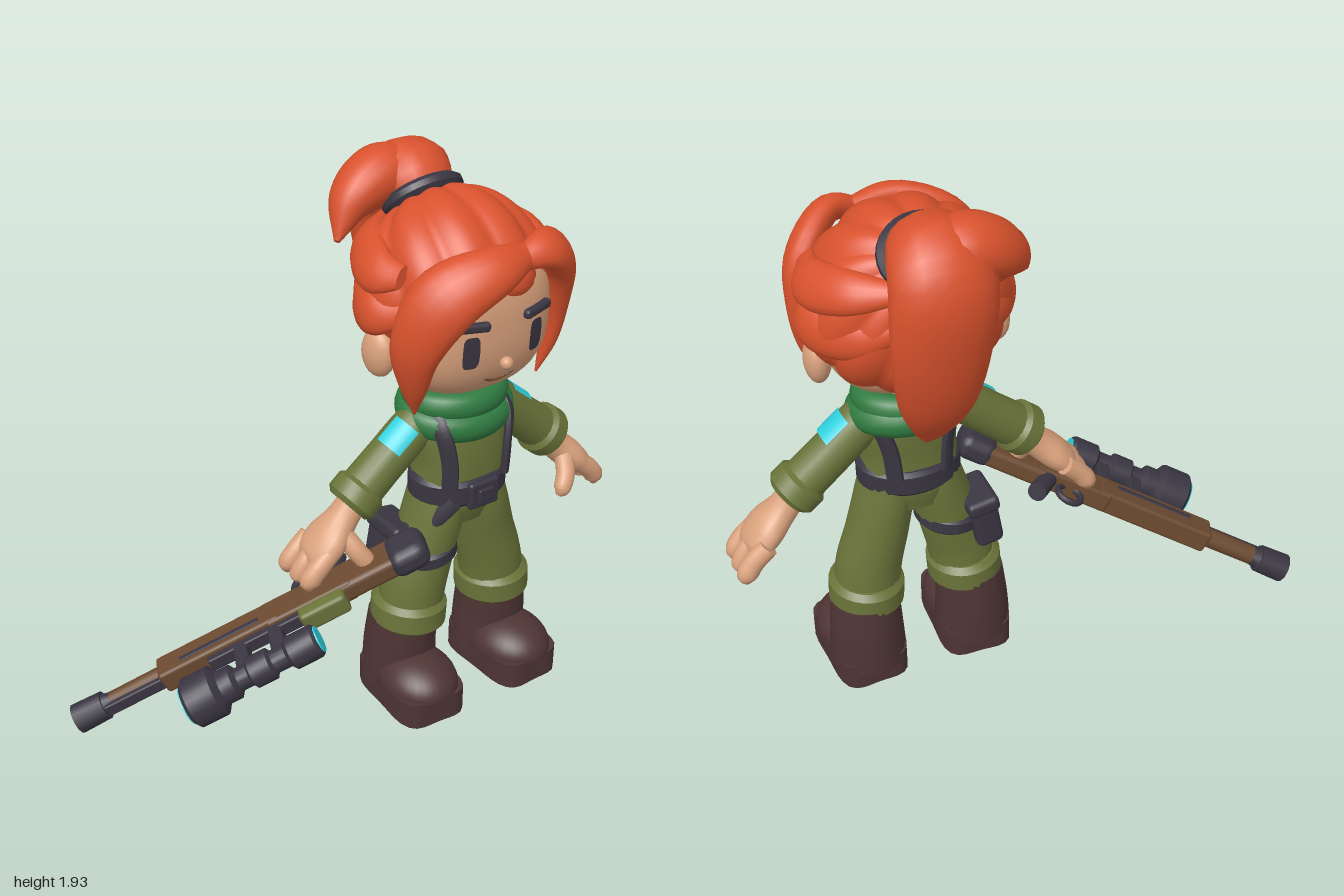
import * as THREE from 'three';
import { toCreasedNormals } from 'three/addons/utils/BufferGeometryUtils.js';
import { RoundedBoxGeometry } from 'three/addons/geometries/RoundedBoxGeometry.js';

const mat = (name, color, side = THREE.FrontSide) => Object.assign(new THREE.MeshStandardMaterial({ color, side }), { name });
const hair = mat('hair orange', 0xd9522d), skin = mat('skin', 0xd9a17c), olive = mat('olive cloth', 0x6a743a);
const green = mat('scarf green', 0x2f7a40), dark = mat('dark gear', 0x3a3642), leather = mat('boot leather', 0x4e3534);
const wood = mat('wood', 0x6b4a30), cyan = mat('cyan', 0x2fd0de, THREE.DoubleSide);
const V = (x, y, z) => new THREE.Vector3(x, y, z);
const CX = 0.36; // the figure's centre line

function add(parent, name, geo, material, p = [0, 0, 0], r = [0, 0, 0], s = [1, 1, 1]) {
  const m = new THREE.Mesh(geo, material);
  m.name = name;
  m.position.set(...p); m.rotation.set(...r); m.scale.set(...s);
  parent.add(m);
  return m;
}

// Tapered body along a path; each point is [x, y, z, halfWidth, halfThickness].
// Thickness points away from "centre", or along "dir" if given.
function sweep(pts, { centre, dir, power = 2, n = 26, m = 18 }) {
  const path = new THREE.CatmullRomCurve3(pts.map(p => V(p[0], p[1], p[2])));
  const size = new THREE.CatmullRomCurve3(pts.map((p, i) => V(p[3], p[4] ?? p[3], i)));
  const pos = [], idx = [];
  for (let i = -1; i <= n + 1; i++) {
    const u = Math.min(1, Math.max(0, i / n)), k = i < 0 || i > n ? 0 : 1;
    const P = path.getPoint(u), T = path.getTangent(u), S = size.getPoint(u);
    const W = T.clone().cross(dir ?? P.clone().sub(centre)).normalize(), N = W.clone().cross(T);
    for (let j = 0; j < m; j++) {
      const a = j / m * Math.PI * 2, c = Math.cos(a), s = Math.sin(a);
      const f = k / Math.pow(Math.abs(c) ** power + Math.abs(s) ** power, 1 / power);
      const q = P.clone().addScaledVector(W, c * f * Math.max(0.001, S.x)).addScaledVector(N, s * f * Math.max(0.001, S.y));
      pos.push(q.x, q.y, q.z);
      if (i <= n) {
        const a0 = (i + 1) * m + j, a1 = (i + 1) * m + (j + 1) % m;
        idx.push(a0, a0 + m, a1, a1, a0 + m, a1 + m);
      }
    }
  }
  const g = new THREE.BufferGeometry();
  g.setAttribute('position', new THREE.Float32BufferAttribute(pos, 3));
  g.setIndex(idx);
  return toCreasedNormals(g, 0.9);
}

// Move every vertex of a geometry by a rule
function warp(g, rule) {
  const p = g.attributes.position, v = V(0, 0, 0);
  for (let i = 0; i < p.count; i++) { v.fromBufferAttribute(p, i); rule(v); p.setXYZ(i, v.x, v.y, v.z); }
  g.computeVertexNormals();
  return g;
}

// Closed ring with bevelled rims
function band(r, h, b = 0.015) {
  const pts = [[0.001, -h / 2], [r - b, -h / 2], [r, b - h / 2], [r, h / 2 - b], [r - b, h / 2], [0.001, h / 2]];
  return toCreasedNormals(new THREE.LatheGeometry(pts.map(p => new THREE.Vector2(...p)), 28), 0.5);
}

const box = (w, h, d, r = 0.012) => new RoundedBoxGeometry(w, h, d, 2, r);

// Cylinder between two points
function rod(parent, name, material, a, b, r1, r2 = r1, seg = 16) {
  const A = V(...a), B = V(...b), d = B.clone().sub(A);
  const m = add(parent, name, new THREE.CylinderGeometry(r2, r1, d.length(), seg), material);
  m.position.copy(A.add(B).multiplyScalar(0.5));
  m.quaternion.setFromUnitVectors(V(0, 1, 0), d.normalize());
  return m;
}

const FACE = { p: 2.6, y: 1.47, z: 0.1, rx: 0.28, ry: 0.27, rz: 0.235 };
const faceZ = (x, y) => FACE.z + FACE.rz * Math.pow(Math.max(0,
  1 - Math.abs((x - CX) / FACE.rx) ** FACE.p - Math.abs((y - FACE.y) / FACE.ry) ** FACE.p), 1 / FACE.p);

function buildHead(g) {
  const head = warp(new THREE.SphereGeometry(1, 48, 32), v => {
    const { p, rx, ry, rz } = FACE;
    v.multiplyScalar(1 / Math.pow(Math.abs(v.x) ** p + Math.abs(v.y) ** p + Math.abs(v.z) ** p, 1 / p));
    v.set(v.x * rx, v.y * ry, v.z * rz);
  });
  add(g, 'head', head, skin, [CX, FACE.y, FACE.z]);
  rod(g, 'neck', skin, [CX, 1.08, 0.09], [CX, 1.26, 0.09], 0.09);
  add(g, 'nose', new THREE.SphereGeometry(0.022, 16, 12), skin, [CX, 1.365, 0.345]);
  const mouth = [-0.055, -0.02, 0.02, 0.055].map((x, i) => {
    const y = [1.305, 1.292, 1.294, 1.312][i];
    return [CX + x, y, faceZ(CX + x, y) + 0.001, 0.005];
  });
  add(g, 'mouth', sweep(mouth, { dir: V(0, 0, 1), m: 8 }), wood);
  for (const s of [-1, 1]) {
    const ex = CX + s * 0.127;
    add(g, 'eye', warp(new THREE.CircleGeometry(1, 28), v => {
      const l = Math.pow(v.x ** 4 + v.y ** 4, 0.25) || 1;
      const x = ex + v.x / l * 0.028, y = 1.425 + v.y / l * 0.057;
      if (v.length() < 0.5) v.set(ex, 1.425, 0); else v.set(x, y, 0);
      v.z = faceZ(v.x, v.y) + 0.006;
    }), dark);
    add(g, 'eyebrow', box(0.12, 0.032, 0.03), dark, [ex, 1.515, faceZ(ex, 1.515) + 0.004], [0, s * 0.25, s * 0.06]);
    add(g, 'ear', new THREE.SphereGeometry(1, 20, 14), skin, [CX + s * 0.295, 1.365, 0.06], [0, s * -0.2, 0], [0.045, 0.085, 0.065]);
  }
}

function buildHair(g) {
  // Locks fan out from the tie over the skull
  const cap = new THREE.SphereGeometry(1, 120, 36);
  warp(cap, v => {
    const ring = Math.hypot(v.x, v.z);
    v.multiplyScalar(1 + 0.06 * ring * (Math.abs(Math.sin(6 * Math.atan2(v.z, v.x))) - 0.6));
  });
  cap.rotateX(-0.75);
  warp(cap, v => {
    if (v.z > 0) v.z *= Math.min(1.3, Math.max(0.1, 1 + v.y));
    v.set(v.x * 0.325, v.y * (v.y < 0 ? 0.28 : 0.335), v.z * 0.25);
  });
  add(g, 'hairCap', cap, hair, [CX, 1.51, 0.03]);
  const centre = V(CX, 1.45, 0.08);
  add(g, 'rightFringe', sweep([[0.44, 1.71, 0.32, 0.04, 0.03], [0.3, 1.7, 0.345, 0.08, 0.05], [0.14, 1.62, 0.3, 0.11, 0.06],
    [0.07, 1.46, 0.255, 0.088, 0.05], [0.085, 1.31, 0.225, 0.05, 0.035], [0.11, 1.19, 0.2, 0.004]], { centre }), hair);
  add(g, 'leftFringe', sweep([[0.41, 1.7, 0.33, 0.035, 0.03], [0.51, 1.715, 0.325, 0.07, 0.045], [0.62, 1.62, 0.255, 0.088, 0.055],
    [0.65, 1.46, 0.22, 0.065, 0.045], [0.64, 1.32, 0.21, 0.04, 0.03], [0.605, 1.2, 0.2, 0.004]], { centre }), hair);
  for (const s of [-1, 1]) for (const k of [0, 1])
    add(g, 'sideLock', sweep([[CX + s * 0.28, 1.66 - k * 0.13, 0.16, 0.04, 0.02], [CX + s * (0.3 + k * 0.015), 1.65 - k * 0.14, 0.05, 0.075, 0.04],
      [CX + s * 0.23, 1.68 - k * 0.16, -0.1, 0.07, 0.04], [CX + s * 0.1, 1.7 - k * 0.12, -0.2, 0.03, 0.02]], { centre }), hair);
  add(g, 'hairTie', band(0.13, 0.05), dark, [CX, 1.77, -0.125], [-0.8, 0, 0], [1.1, 1, 1]);
  const root = { centre: V(CX, 1.55, -0.12) };
  add(g, 'ponytail', sweep([[0.36, 1.74, -0.1, 0.09, 0.09], [0.36, 1.83, -0.19, 0.14, 0.11], [0.36, 1.76, -0.28, 0.165, 0.115],
    [0.38, 1.55, -0.305, 0.155, 0.08], [0.38, 1.32, -0.25, 0.12, 0.065], [0.375, 1.17, -0.175, 0.06, 0.035], [0.37, 1.07, -0.11, 0.003]], root), hair);
  add(g, 'ponytailLobe', sweep([[0.38, 1.82, -0.22, 0.09, 0.08], [0.26, 1.83, -0.23, 0.11, 0.1], [0.14, 1.775, -0.21, 0.085, 0.075],
    [0.05, 1.67, -0.16, 0.01]], root), hair);
}

function buildBody(g) {
  const front = { dir: V(0, 0, 1) };
  add(g, 'torso', sweep([[CX, 0.7, 0.1, 0.12, 0.1], [CX, 0.78, 0.105, 0.165, 0.12], [CX, 0.92, 0.11, 0.16, 0.122],
    [CX, 1.06, 0.1, 0.165, 0.115], [CX, 1.16, 0.09, 0.1, 0.09]], { ...front, power: 2.8 }), olive);
  add(g, 'belt', band(0.18, 0.095), dark, [CX, 0.835, 0.11], [0, 0, 0], [1, 1, 0.8]);
  add(g, 'buckle', box(0.12, 0.1, 0.03), dark, [CX, 0.835, 0.255]);
  add(g, 'buckleCentre', box(0.06, 0.05, 0.02, 0.006), dark, [CX, 0.835, 0.27]);
  [[1.1, 0.158, 0.053, 0.16], [1.155, 0.14, 0.05, 0.02]].forEach(([y, r, t, tilt]) =>
    add(g, 'scarfFold', new THREE.TorusGeometry(r, t, 16, 40).rotateX(Math.PI / 2), green, [CX, y, 0.08], [tilt, 0, 0], [1, 1, 0.86]));

  for (const s of [-1, 1]) {
    const at = (o, y, z, ...r) => [CX + s * o, y, z, ...r];
    add(g, 'shoulderStrap', sweep([at(0.115, 0.87, 0.225, 0.028, 0.014), at(0.12, 0.98, 0.225, 0.028, 0.014), at(0.14, 1.1, 0.195, 0.028, 0.014),
      at(0.14, 1.15, 0.1, 0.028, 0.014), at(0.13, 1.09, 0.005, 0.028, 0.014), at(0.1, 0.98, -0.01, 0.028, 0.014), at(0.09, 0.87, -0.015, 0.028, 0.014)],
      { centre: V(CX, 1, 0.11), m: 12, power: 4 }), dark);

    // Legs and boots
    add(g, 'leg', sweep([at(0.075, 0.82, 0.105, 0.09, 0.115), at(0.095, 0.72, 0.105, 0.1, 0.12), at(0.13, 0.58, 0.1, 0.108, 0.115),
      at(0.165, 0.45, 0.1, 0.115, 0.113), at(0.182, 0.32, 0.095, 0.115, 0.115)], front), olive);
    add(g, 'trouserCuff', band(0.131, 0.11, 0.02), olive, at(0.182, 0.345, 0.095), [0, 0, s * 0.06], [1, 1, 1.06]);
    const boot = new THREE.Group();
    boot.name = 'boot';
    boot.position.set(CX + s * 0.2, 0, 0.08);
    boot.rotation.y = s * 0.05;
    g.add(boot);
    const sole = new THREE.Shape(Array.from({ length: 40 }, (_, i) => {
      const a = i / 40 * Math.PI * 2, c = Math.cos(a), d = Math.sin(a), f = Math.pow(c ** 4 + d ** 4, -1 / 3.2) * 0.93;
      return new THREE.Vector2(c * f * 0.137, d * f * 0.205 - 0.07);
    }));
    add(boot, 'sole', toCreasedNormals(new THREE.ExtrudeGeometry(sole, { depth: 0.1, bevelEnabled: false }).rotateX(-Math.PI / 2), 0.6), leather);
    add(boot, 'toe', new THREE.SphereGeometry(1, 28, 12, 0, Math.PI * 2, 0, Math.PI / 2), leather, [0, 0.095, 0.11], [0, 0, 0], [0.138, 0.105, 0.165]);
    add(boot, 'shaft', sweep([[0, 0.06, -0.01, 0.137, 0.135], [0, 0.18, -0.01, 0.13, 0.13], [-s * 0.005, 0.32, 0, 0.12, 0.125]], front), leather);

    // Arms and hands
    add(g, 'sleeve', sweep([at(0.08, 1.11, 0.09, 0.07), at(0.15, 1.075, 0.085, 0.075), at(0.28, 0.967, 0.08, 0.075), at(0.41, 0.858, 0.08, 0.078)], front), olive);
    const along = V(s * 0.77, -0.64, 0).normalize(), out = V(s * 0.64, 0.77, 0).normalize();
    const turn = new THREE.Quaternion().setFromRotationMatrix(new THREE.Matrix4().makeBasis(out, along, out.clone().cross(along)));
    add(g, 'sleeveCuff', band(0.092, 0.09, 0.018), olive, at(0.395, 0.87, 0.08)).quaternion.copy(turn);
    const mid = s < 0 ? Math.PI / 2 - 0.5 : Math.PI / 2;
    add(g, 'armPatch', new THREE.CylinderGeometry(0.083, 0.083, 0.1, 12, 1, true, mid - 0.62, 1.24), cyan, at(0.215, 1.021, 0.083)).quaternion.copy(turn);
    add(g, 'palm', sweep([at(0.4, 0.86, 0.08, 0.05), at(0.45, 0.8, 0.08, 0.06, 0.052), at(0.51, 0.74, 0.08, 0.09, 0.055),
      at(0.56, 0.69, 0.075, 0.085, 0.045), at(0.585, 0.665, 0.07, 0.05, 0.02)], { dir: out }), skin);
    for (const [i, z] of [0.135, 0.07, 0.0].entries())
      add(g, 'finger', sweep([at(0.53, 0.72, z, 0.035), at(0.585, 0.67, z, 0.036), at(0.612, 0.63 - (i === 1) * 0.01, z - 0.005, 0.034),
        at(0.615, 0.6, z - 0.005, 0.012)], { dir: V(0, 0, 1), m: 12 }), skin);
    add(g, 'thumb', sweep([at(0.47, 0.76, 0.12, 0.035), at(0.445, 0.71, 0.165, 0.034), at(0.415, 0.665, 0.185, 0.03), at(0.4, 0.645, 0.185, 0.01)], { dir: V(0, 0, 1), m: 12 }), skin);
  }

  // Thigh holster on the right leg
  add(g, 'thighStrap', band(0.12, 0.07), dark, [CX - 0.13, 0.585, 0.1], [0, 0, 0.15], [0.97, 1, 1.03]);
  add(g, 'holster', box(0.1, 0.2, 0.17, 0.025), dark, [0.135, 0.59, 0.04], [0, 0, -0.16]);
  add(g, 'holsterFlap', box(0.115, 0.06, 0.185, 0.02), dark, [0.148, 0.665, 0.04], [0, 0, -0.16]);
  add(g, 'holsterHanger', sweep([[0.16, 0.67, 0.11, 0.035, 0.014], [0.21, 0.74, 0.18, 0.035, 0.014], [0.26, 0.82, 0.225, 0.035, 0.014]], { centre: V(CX, 0.7, 0.1), m: 12 }), dark);
}

// Rifle: x runs from muzzle to butt, y points to the scope
function buildRifle() {
  const r = new THREE.Group();
  r.name = 'rifle';
  rod(r, 'muzzle', dark, [0, 0, 0], [0.11, 0, 0], 0.053, 0.05, 12);
  rod(r, 'muzzleCollar', dark, [0.1, 0, 0], [0.14, 0, 0], 0.042, 0.034, 12);
  rod(r, 'barrel', wood, [0.1, 0, 0], [0.4, 0, 0], 0.034, 0.036, 12);
  add(r, 'barrelRail', box(0.28, 0.03, 0.045, 0.006), dark, [0.25, 0.028, 0]);
  add(r, 'handguard', box(0.46, 0.1, 0.085), wood, [0.56, 0, 0]);
  add(r, 'receiver', box(0.32, 0.11, 0.08), wood, [0.9, 0, 0]);
  add(r, 'topRail', box(0.36, 0.03, 0.05, 0.006), dark, [0.69, 0.06, 0]);
  for (const s of [-1, 1]) add(r, 'handguardSlot', box(0.3, 0.02, 0.008, 0.003), dark, [0.57, 0.015, s * 0.042]);
  add(r, 'cheekRest', box(0.17, 0.06, 0.075, 0.015), olive, [0.94, 0.075, 0]);
  add(r, 'stock', box(0.27, 0.13, 0.075, 0.02), wood, [1.13, -0.005, 0]);
  add(r, 'butt', box(0.14, 0.15, 0.1, 0.04), dark, [1.265, 0, 0]);
  add(r, 'triggerGuard', new THREE.TorusGeometry(0.045, 0.012, 8, 24), dark, [0.9, -0.085, 0]);
  rod(r, 'grip', dark, [0.98, -0.03, 0], [1.03, -0.15, 0], 0.034);
  for (const x of [0.63, 0.76]) add(r, 'scopeMount', box(0.05, 0.12, 0.05, 0.008), dark, [x, 0.12, 0]);
  const profile = [[0.001, 0.41], [0.07, 0.41], [0.088, 0.425], [0.088, 0.52], [0.06, 0.54], [0.06, 0.585], [0.04, 0.6], [0.04, 0.64], [0.055, 0.65],
    [0.055, 0.72], [0.04, 0.73], [0.04, 0.78], [0.058, 0.795], [0.058, 0.885], [0.05, 0.895], [0.001, 0.895]];
  const scope = new THREE.LatheGeometry(profile.map(p => new THREE.Vector2(...p)), 24).rotateZ(-Math.PI / 2);
  add(r, 'scope', toCreasedNormals(scope, 0.5), dark, [0, 0.195, 0]);
  rod(r, 'frontLens', cyan, [0.405, 0.195, 0], [0.412, 0.195, 0], 0.066, 0.066, 24);
  rod(r, 'rearLens', cyan, [0.893, 0.195, 0], [0.9, 0.195, 0], 0.046, 0.046, 24);
  const D = V(0.81, 0.452, 0.373).normalize(), S = D.clone().cross(V(-0.39, -0.06, 0.92)).normalize();
  r.applyMatrix4(new THREE.Matrix4().makeBasis(D, S.clone().cross(D), S).setPosition(-0.97, 0.135, -0.22));
  return r;
}

export function createModel() {
  const g = new THREE.Group();
  g.name = 'rifleWoman';
  buildBody(g);
  buildHead(g);
  buildHair(g);
  g.add(buildRifle());
  return g;
}
